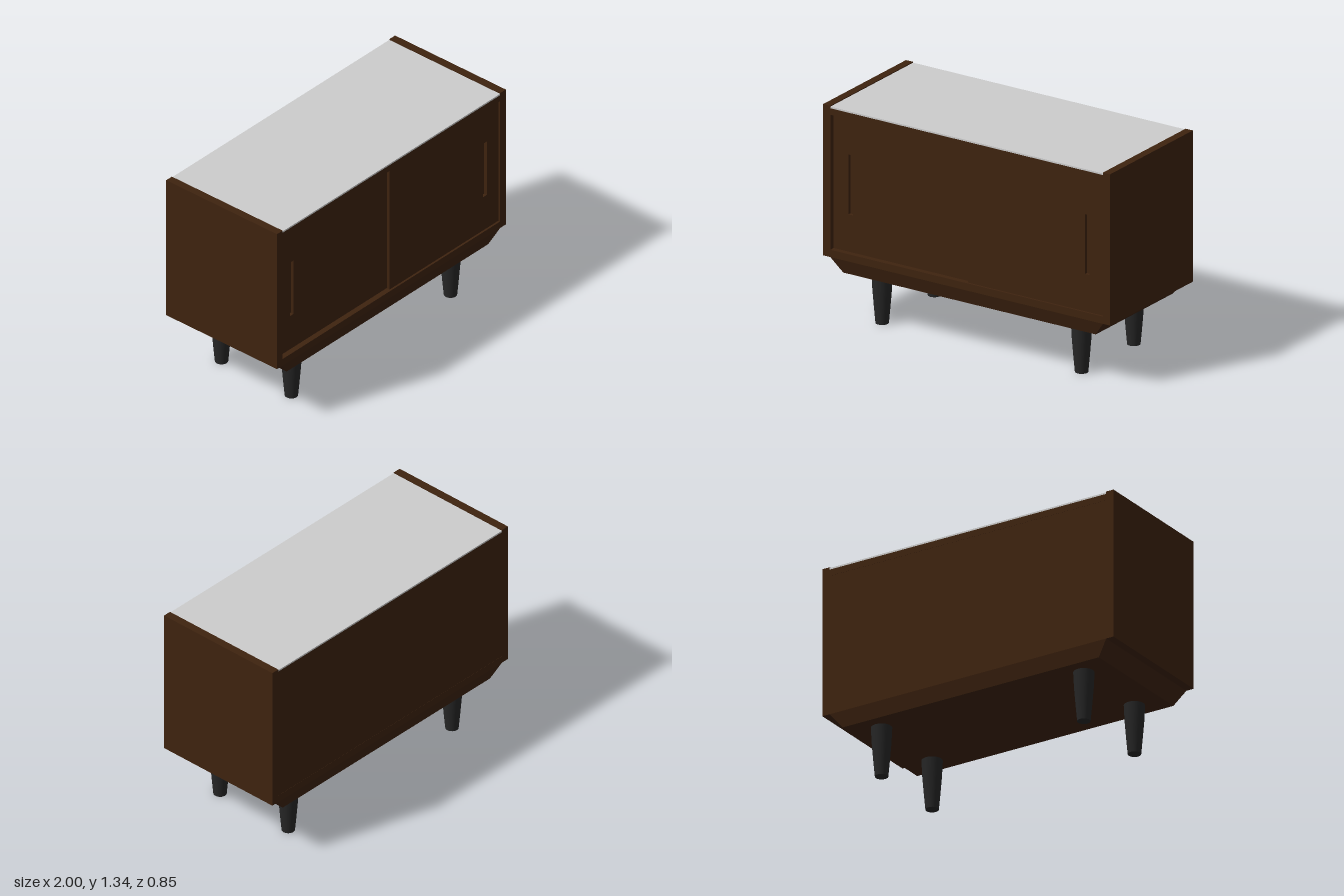
import * as THREE from 'three';

export function createModel() {
  const model = new THREE.Group();
  model.name = 'sideboard';

  const wood = new THREE.MeshStandardMaterial({ name: 'dark walnut', color: 0x3e230f });
  const glass = new THREE.MeshStandardMaterial({ name: 'pale grey top', color: 0xcdcdcd });
  const black = new THREE.MeshStandardMaterial({ name: 'black leg', color: 0x262626 });

  const add = (name, geometry, material, x, y, z) => {
    const mesh = new THREE.Mesh(geometry, material);
    mesh.name = name;
    mesh.position.set(x, y, z);
    model.add(mesh);
    return mesh;
  };
  // Box given by its lower and upper corners
  const box = (name, material, [x0, y0, z0], [x1, y1, z1]) =>
    add(name, new THREE.BoxGeometry(x1 - x0, y1 - y0, z1 - z0), material,
      (x0 + x1) / 2, (y0 + y1) / 2, (z0 + z1) / 2);

  const inner = 0.95, depth = 0.425;

  // Carcass
  box('leftSide', wood, [inner, 0.4, -depth], [1, 1.335, depth]);
  box('rightSide', wood, [-1, 0.4, -depth], [-inner, 1.335, depth]);
  box('bottomBoard', wood, [-inner, 0.4, -depth], [inner, 0.445, depth]);
  box('topBoard', wood, [-inner, 1.28, -depth], [inner, 1.32, depth]);
  box('backPanel', wood, [-inner, 0.445, -depth + 0.001], [inner, 1.28, -depth + 0.03]);
  box('topSheet', glass, [-inner, 1.32, -depth], [inner, 1.33, depth]);

  // Tapered plinth: a box drawn in at its lower edge
  const plinth = new THREE.BoxGeometry(2 * inner, 0.09, 2 * depth);
  const p = plinth.attributes.position;
  for (let i = 0; i < p.count; i++) {
    if (p.getY(i) < 0) {
      p.setX(i, Math.sign(p.getX(i)) * 0.88);
      p.setZ(i, Math.sign(p.getZ(i)) * 0.395);
    }
  }
  plinth.computeVertexNormals();
  add('plinth', plinth, wood, 0, 0.355, 0);

  // Sliding doors, each with a recessed slot pull
  const rect = (Type, x0, y0, x1, y1) => {
    const path = new Type();
    path.moveTo(x0, y0);
    path.lineTo(x1, y0);
    path.lineTo(x1, y1);
    path.lineTo(x0, y1);
    path.closePath();
    return path;
  };
  const door = (name, x0, x1, slotX, back) => {
    const shape = rect(THREE.Shape, x0, 0.445, x1, 1.28);
    shape.holes.push(rect(THREE.Path, slotX - 0.016, 0.675, slotX + 0.016, 1.045));
    const panel = new THREE.ExtrudeGeometry(shape, { depth: 0.02, bevelEnabled: false });
    add(name, panel, wood, 0, 0, back);
    box(name + 'SlotBack', wood,
      [slotX - 0.03, 0.66, back - 0.008], [slotX + 0.03, 1.06, back]);
  };
  door('rightDoor', -inner, 0.02, -0.832, 0.37);
  door('leftDoor', 0, inner, 0.832, 0.392);

  // Round tapered legs with a slight swell
  const profile = [[0, 0], [0.039, 0], [0.048, 0.1], [0.057, 0.21], [0.062, 0.312]]
    .map(([r, y]) => new THREE.Vector2(r, y));
  // Sharp foot: the flat sole is its own mesh
  const legSide = new THREE.LatheGeometry(profile.slice(1), 32);
  const sole = new THREE.CircleGeometry(0.039, 32).rotateX(Math.PI / 2);
  for (const x of [-0.695, 0.695]) {
    for (const z of [-0.268, 0.268]) {
      add('leg', legSide, black, x, 0, z);
      add('legSole', sole, black, x, 0, z);
    }
  }
  return model;
}
